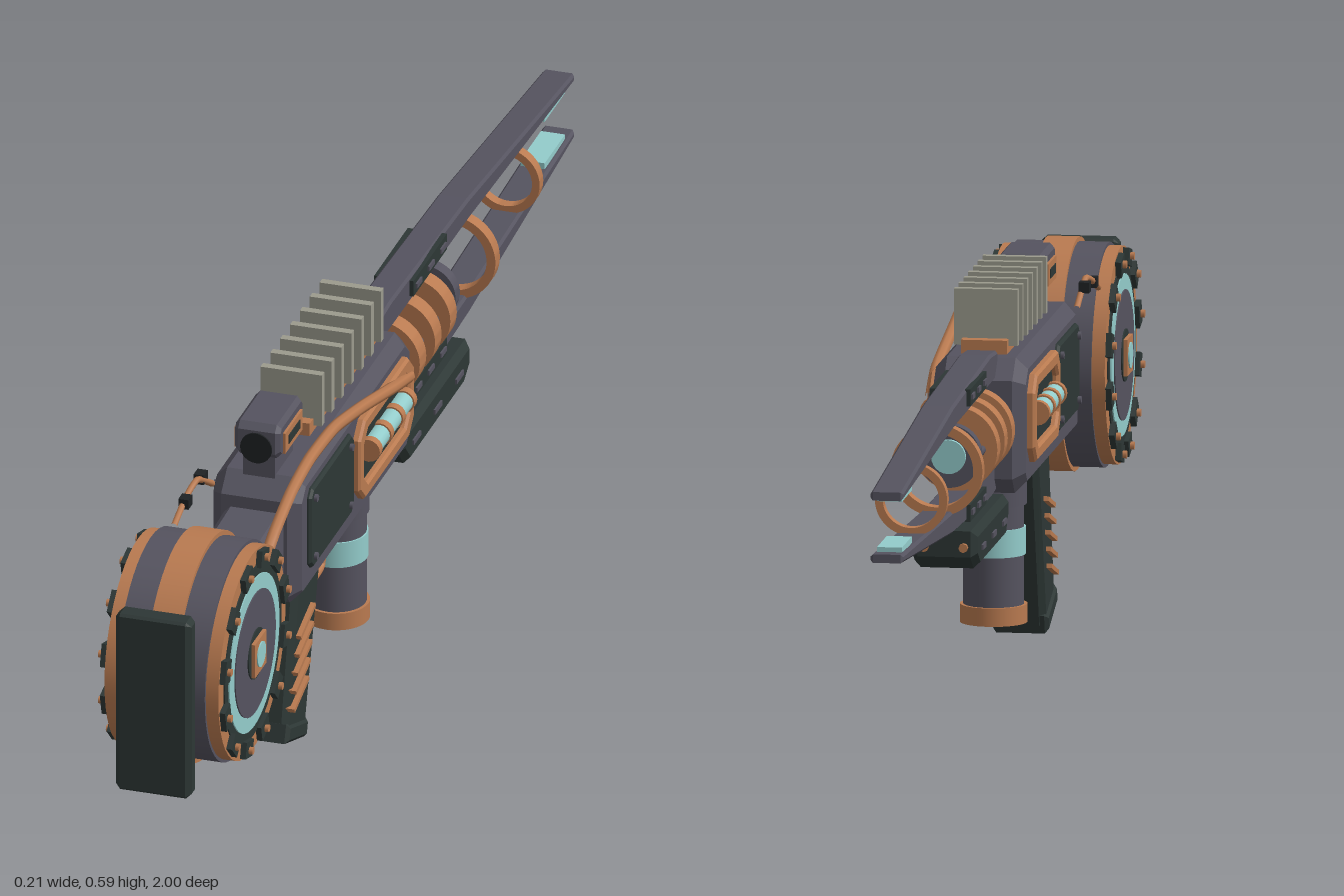
import * as THREE from 'three';
import { toCreasedNormals } from 'three/addons/utils/BufferGeometryUtils.js';

const paint = (name, color) => {
  const m = new THREE.MeshStandardMaterial({ color });
  m.name = name;
  return m;
};

export function createModel() {
  const root = new THREE.Group();
  root.name = 'coilRifle';
  const slate = paint('slate', 0x55535f), copper = paint('copper', 0xb97a50), dark = paint('darkGreen', 0x2d3735);
  const cyan = paint('cyan', 0x93cccb), ash = paint('ash', 0x9b9a8d), black = paint('black', 0x1f2224);

  const add = (name, geo, mat, x = 0, y = 0, z = 0) => {
    const m = new THREE.Mesh(geo, mat);
    m.name = name;
    m.position.set(x, y, z);
    root.add(m);
    return m;
  };
  const box = (w, h, d) => new THREE.BoxGeometry(w, h, d);
  const cyl = (r, len, seg = 32) => new THREE.CylinderGeometry(r, r, len, seg);
  const cylX = (r, len, seg) => cyl(r, len, seg).rotateZ(Math.PI / 2);
  const cylZ = (r, len, seg) => cyl(r, len, seg).rotateX(Math.PI / 2);
  const vecs = pts => pts.map(p => new THREE.Vector2(...p));

  // Side profile of [z, y] points, extruded from x0 to x1 with chamfered edges
  const slab = (pts, x0, x1, bevel = 0, hole) => {
    const shape = new THREE.Shape(vecs(pts));
    if (hole) shape.holes.push(new THREE.Path(vecs(hole)));
    return new THREE.ExtrudeGeometry(shape, {
      depth: x1 - x0 - 2 * bevel, bevelEnabled: bevel > 0, bevelSize: bevel,
      bevelThickness: bevel, bevelOffset: -bevel, bevelSegments: 1,
    }).rotateY(-Math.PI / 2).translate(x1 - bevel, 0, 0);
  };
  // Rectangle with cut corners
  const cutRect = (z0, z1, y0, y1, c) => [
    [z0 + c, y0], [z1 - c, y0], [z1, y0 + c], [z1, y1 - c],
    [z1 - c, y1], [z0 + c, y1], [z0, y1 - c], [z0, y0 + c]];
  // Flat hoop around the z axis
  const hoop = (ro, ri, len) => {
    const s = new THREE.Shape().absarc(0, 0, ro, 0, Math.PI * 2);
    s.holes.push(new THREE.Path().absarc(0, 0, ri, 0, Math.PI * 2));
    const g = new THREE.ExtrudeGeometry(s, { depth: len, bevelEnabled: false, curveSegments: 32 });
    return toCreasedNormals(g.translate(0, 0, -len / 2), 0.6);
  };
  const tube = (pts, r) => new THREE.TubeGeometry(
    new THREE.CatmullRomCurve3(pts.map(p => new THREE.Vector3(...p)), false, 'catmullrom', 0.3), 40, r, 8);

  // Shoulder plate and drum stock
  const dy = 0.355, dz = 0.79;
  add('shoulderPlate', slab(cutRect(0.968, 1, 0.203, 0.5, 0.004), -0.06, 0.06, 0.008), dark);
  add('drum', cylX(0.17, 0.14, 48), slate, 0, dy, dz);
  add('drumBand', cylX(0.177, 0.048, 48), copper, 0, dy, dz);
  for (const s of [-1, 1]) {
    const disc = (name, r, x, mat, seg = 48) => add(name, cylX(r, x - 0.06, seg), mat, s * (x + 0.06) / 2, dy, dz);
    disc('drumRim', 0.165, 0.09, copper);
    disc('drumInset', 0.14, 0.092, dark);
    disc('drumGlowRing', 0.123, 0.094, cyan);
    disc('drumFace', 0.099, 0.096, slate);
    disc('hubRing', 0.04, 0.098, dark);
    add('hubPlate', box(0.012, 0.056, 0.056), copper, s * 0.098, dy, dz);
    disc('hubGlow', 0.02, 0.106, cyan, 20);
    for (let i = 0; i < 12; i++) {
      const a = (i + 0.5) * Math.PI / 6, c = Math.cos(a), n = Math.sin(a);
      add('rimClip', box(0.03, 0.026, 0.036), dark, s * 0.084, dy + n * 0.148, dz + c * 0.148).rotation.x = Math.PI / 2 - a;
      add('rimBolt', cylX(0.006, 0.01, 8), copper, s * 0.1, dy + n * 0.15, dz + c * 0.15);
    }
  }

  // Neck and receiver
  add('neck', slab([[0.68, 0.3], [0.47, 0.3], [0.47, 0.442], [0.68, 0.432]], -0.047, 0.047, 0.01), slate);
  add('receiver', slab([[0.5, 0.3], [0.485, 0.285], [-0.04, 0.285], [-0.065, 0.31], [-0.065, 0.46],
    [-0.03, 0.49], [0.47, 0.49], [0.5, 0.46]], -0.07, 0.07, 0.018), slate);

  // Side panels and power windows
  for (const s of [-1, 1]) {
    const side = (name, pts, x0, x1, b, mat, hole) =>
      add(name, slab(pts, s > 0 ? x0 : -x1, s > 0 ? x1 : -x0, b, hole), mat);
    side('sidePanel', cutRect(0.245, 0.458, 0.328, 0.462, 0.012), 0.06, 0.077, 0.004, dark);
    for (const z of [0.265, 0.44]) for (const y of [0.346, 0.444])
      add('panelBolt', cylX(0.006, 0.008, 8), slate, s * 0.078, y, z);
    side('windowFrame', cutRect(-0.035, 0.232, 0.328, 0.462, 0.025), 0.06, 0.082, 0.004, copper,
      cutRect(-0.012, 0.21, 0.35, 0.44, 0.018).reverse());
    side('windowBack', cutRect(-0.02, 0.218, 0.342, 0.448, 0.02), 0.066, 0.072, 0, dark);
    add('powerCell', cylZ(0.016, 0.18, 16), cyan, s * 0.08, 0.4, 0.095);
    for (const z of [0.01, 0.066, 0.123, 0.18])
      add('cellBand', cylZ(0.0185, 0.014, 16), copper, s * 0.08, 0.4, z);
  }

  // Cooling fins on a copper rail
  add('finRail', box(0.07, 0.026, 0.34), copper, 0, 0.498, 0.165);
  for (let i = 0; i < 7; i++)
    add('coolingFin', box(0.097, 0.086, 0.013), ash, 0, 0.543, 0.02 + i * 0.0485);

  // Sight
  add('sightMount', box(0.05, 0.05, 0.09), slate, 0, 0.508, 0.43);
  add('sightBody', slab(cutRect(0.367, 0.488, 0.522, 0.578, 0.01), -0.036, 0.036, 0.007), slate);
  add('sightLens', cylZ(0.025, 0.008, 24), black, 0, 0.54, 0.487);
  for (const s of [-1, 1]) {
    add('sightTrim', box(0.008, 0.034, 0.085), copper, s * 0.036, 0.544, 0.428);
    add('sightVent', box(0.005, 0.014, 0.055), dark, s * 0.039, 0.544, 0.428);
  }

  // Grip with raised ribs
  add('grip', slab([[0.4, 0.3], [0.28, 0.3], [0.365, 0.012], [0.46, 0.045]], -0.039, 0.039, 0.01), dark);
  add('gripBase', slab([[0.457, 0.062], [0.361, 0.028], [0.37, 0], [0.467, 0.034]], -0.043, 0.043, 0.006), dark);
  for (let i = 0; i < 5; i++)
    add('gripRib', box(0.094, 0.007, 0.075), copper, 0, 0.2 - i * 0.027, 0.378 + i * 0.008).rotation.x = 0.3;

  // Trigger and guard
  add('triggerGuard', tube([[0, 0.3, 0.165], [0, 0.2, 0.168], [0, 0.184, 0.18], [0, 0.184, 0.275],
    [0, 0.2, 0.288], [0, 0.23, 0.295]], 0.007), copper);
  add('trigger', tube([[0, 0.29, 0.245], [0, 0.26, 0.25], [0, 0.232, 0.262]], 0.007), copper);

  // Foregrip canister
  add('foregrip', cyl(0.046, 0.21), slate, 0, 0.185, 0.095);
  add('foregripCollar', cyl(0.05, 0.045), slate, 0, 0.268, 0.095);
  add('foregripGlow', cyl(0.0485, 0.042), cyan, 0, 0.19, 0.095);
  add('foregripCap', cyl(0.051, 0.028), copper, 0, 0.079, 0.095);

  // Twin rails, mirrored about the bore
  const bore = 0.395;
  const flip = s => ([z, y]) => [z, bore + s * (y - bore)];
  for (const s of [1, -1]) {
    add('rail', slab([[-0.03, 0.46], [-0.48, 0.457], [-1, 0.436], [-1, 0.449], [-0.48, 0.492],
      [-0.1, 0.505], [-0.03, 0.5]].map(flip(s)), -0.025, 0.025, 0.004), slate);
    add('muzzleGlow', box(0.038, 0.01, 0.1), cyan, 0, bore + s * 0.04, -0.92);
    for (const x of [-1, 1]) {
      add('railVent', box(0.008, 0.026, 0.165), dark, x * 0.027, bore + s * 0.088, -0.27);
      for (const z of [-0.21, -0.27, -0.33])
        add('railBolt', box(0.006, 0.008, 0.026), slate, x * 0.031, bore + s * 0.088, z);
    }
  }

  // Coil accelerator
  add('coilCore', cylZ(0.026, 0.32, 24), cyan, 0, bore, -0.21);
  add('coilSocket', cylZ(0.05, 0.035), slate, 0, bore, -0.075);
  add('coilNozzle', hoop(0.048, 0.026, 0.022), slate, 0, bore, -0.352);
  for (const z of [-0.132, -0.207, -0.282]) add('coil', hoop(0.064, 0.036, 0.032), copper, 0, bore, z);
  for (const x of [-1, 1]) add('coilRod', cylZ(0.007, 0.28, 8), slate, x * 0.04, bore, -0.21);
  add('largeFocusRing', hoop(0.07, 0.056, 0.022), copper, 0, bore, -0.48);
  add('smallFocusRing', hoop(0.055, 0.043, 0.018), copper, 0, bore, -0.742);

  // Underslung module
  add('underModule', slab([[-0.08, 0.29], [-0.08, 0.26], [-0.11, 0.228], [-0.38, 0.228], [-0.413, 0.25],
    [-0.413, 0.29]], -0.05, 0.05, 0.01), dark);
  for (const x of [-1, 1]) {
    for (const z of [-0.14, -0.245, -0.35]) add('moduleSlot', box(0.006, 0.008, 0.035), slate, x * 0.05, 0.258, z);
    add('moduleBolt', cylZ(0.007, 0.012, 8), copper, x * 0.03, 0.265, -0.415);
  }

  // Feed pipe on one side, short cable on the other
  add('feedPipe', tube([[0.08, 0.46, 0.7], [0.08, 0.487, 0.65], [0.078, 0.512, 0.56], [0.078, 0.524, 0.47],
    [0.078, 0.518, 0.35], [0.08, 0.49, 0.22], [0.084, 0.455, 0.08], [0.078, 0.425, -0.02]], 0.0095), copper);
  add('sideCable', tube([[-0.075, 0.48, 0.66], [-0.075, 0.5, 0.6], [-0.07, 0.51, 0.56], [-0.066, 0.475, 0.5]], 0.005), copper);
  for (const [y, z] of [[0.497, 0.61], [0.502, 0.535]]) add('cableClamp', box(0.016, 0.016, 0.02), black, -0.073, y, z);

  return root;
}
